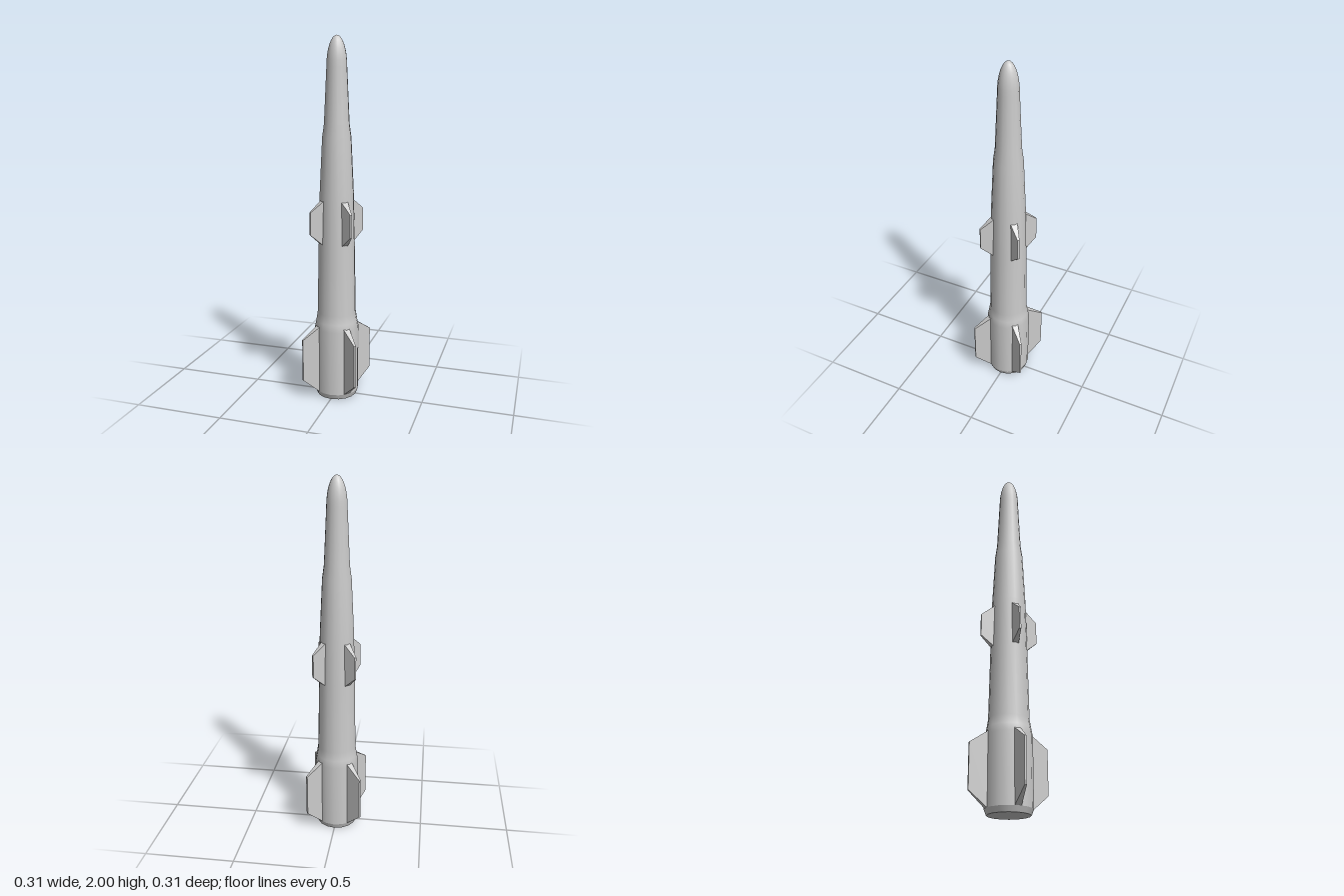
import * as THREE from 'three';

const SIDES = 16;
const material = new THREE.MeshStandardMaterial({ color: 0xcccccc });

function lathe(name, profile) {
  const points = profile.map(([r, y]) => new THREE.Vector2(r, y));
  const mesh = new THREE.Mesh(new THREE.LatheGeometry(points, SIDES), material);
  mesh.name = name;
  return mesh;
}

// Trapezoid fin pointing along +x, its thickness tapering from root to tip
function finGeometry({ root, tip, rootY, tipY, rootWidth, tipWidth }) {
  const shape = new THREE.Shape([
    new THREE.Vector2(root, rootY[0]),
    new THREE.Vector2(tip, tipY[0]),
    new THREE.Vector2(tip, tipY[1]),
    new THREE.Vector2(root, rootY[1]),
  ]);
  const geometry = new THREE.ExtrudeGeometry(shape, { depth: 1, bevelEnabled: false });
  const position = geometry.attributes.position;
  for (let i = 0; i < position.count; i++) {
    const t = (position.getX(i) - root) / (tip - root);
    const width = THREE.MathUtils.lerp(rootWidth, tipWidth, t);
    position.setZ(i, (position.getZ(i) - 0.5) * width);
  }
  geometry.computeVertexNormals();
  return geometry;
}

// Four equal fins on the diagonals
function finSet(name, options) {
  const group = new THREE.Group();
  group.name = name + 's';
  const geometry = finGeometry(options);
  for (let i = 0; i < 4; i++) {
    const fin = new THREE.Mesh(geometry, material);
    fin.name = name;
    fin.rotation.y = Math.PI / 4 + (i * Math.PI) / 2;
    group.add(fin);
  }
  return group;
}

export function createModel() {
  const model = new THREE.Group();
  model.name = 'missile';

  // Body: wide tail, slim middle, small shoulder, elliptical nose
  const profile = [
    [0.124, 0.03], [0.124, 0.4], [0.116, 0.44], [0.108, 0.49], [0.1, 0.9],
    [0.094, 1.16], [0.079, 1.47], [0.069, 1.54], [0.055, 1.84],
  ];
  const noseSteps = 8;
  for (let i = 1; i <= noseSteps; i++) {
    const a = (i / noseSteps) * (Math.PI / 2);
    profile.push([i === noseSteps ? 0 : 0.055 * Math.cos(a), 1.84 + 0.16 * Math.sin(a)]);
  }
  model.add(lathe('body', profile));

  // Chamfered tail rim and flat base
  model.add(lathe('tailRim', [[0.112, 0], [0.124, 0.03]]));
  model.add(lathe('base', [[0, 0], [0.112, 0]]));

  model.add(finSet('tailFin', {
    root: 0.11, tip: 0.215, rootY: [0.02, 0.42], tipY: [0.11, 0.35],
    rootWidth: 0.038, tipWidth: 0.011,
  }));
  model.add(finSet('midFin', {
    root: 0.088, tip: 0.163, rootY: [0.88, 1.13], tipY: [0.945, 1.07],
    rootWidth: 0.039, tipWidth: 0.011,
  }));

  return model;
}
